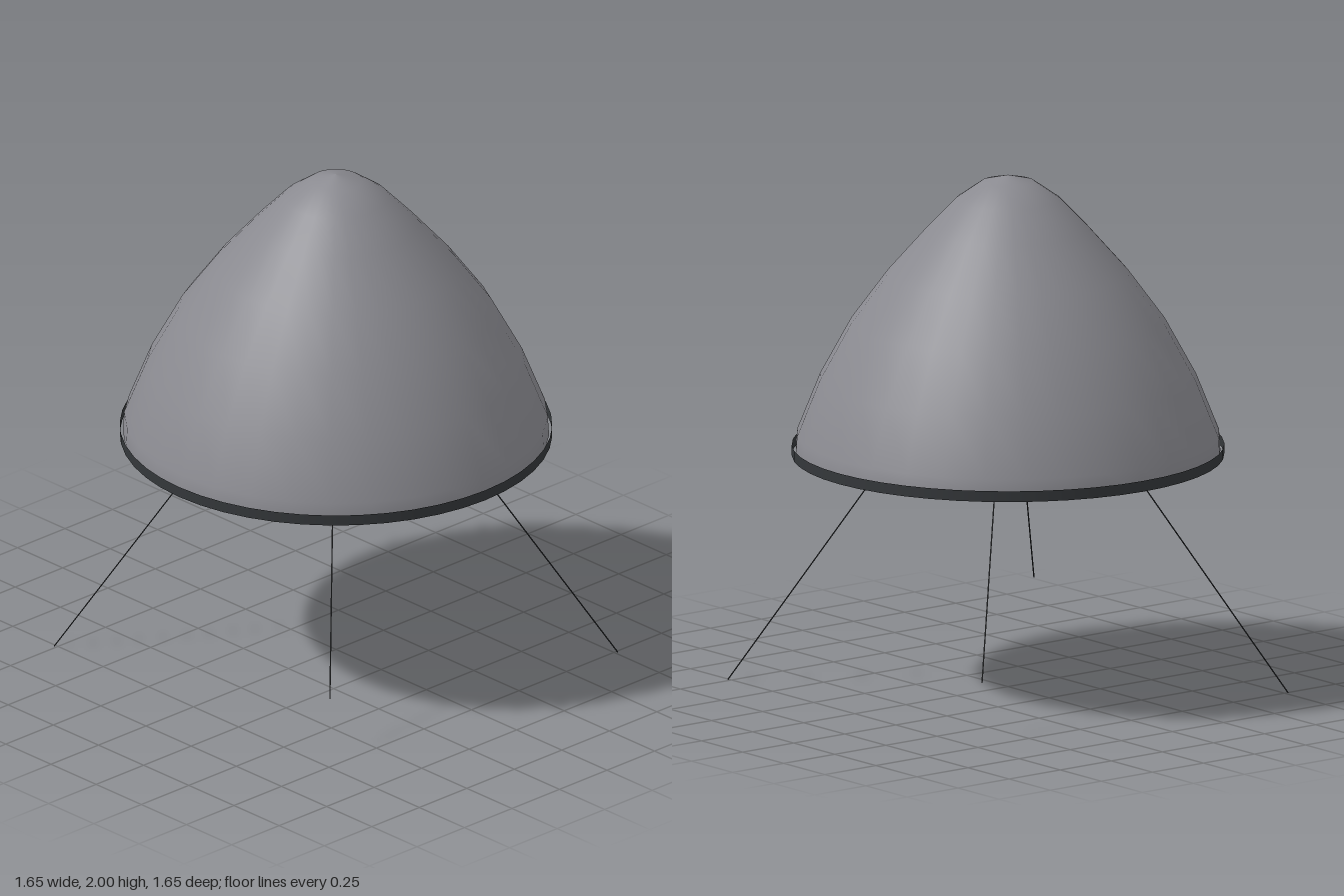
import * as THREE from 'three';

export function createModel() {
  const model = new THREE.Group();
  const mat = (name, color, side = THREE.FrontSide) => {
    const m = new THREE.MeshStandardMaterial({ color, side });
    m.name = name;
    return m;
  };
  const shadeGrey = mat('shade grey', 0x8a8a90, THREE.DoubleSide);
  const trimDark = mat('trim dark grey', 0x34373a, THREE.DoubleSide);
  const bulbGrey = mat('bulb light grey', 0xb8b8b8);

  const add = (name, geometry, material, y = 0) => {
    const mesh = new THREE.Mesh(geometry, material);
    mesh.name = name;
    mesh.position.y = y;
    model.add(mesh);
    return mesh;
  };

  // Open domed shade, listed from the lower edge up to the tip
  const profile = [
    [0.813, 0.91], [0.808, 0.99], [0.72, 1.21], [0.6, 1.43], [0.46, 1.62],
    [0.31, 1.79], [0.2, 1.905], [0.1, 1.975], [0, 2],
  ].map(([r, y]) => new THREE.Vector2(r, y));
  add('shade', new THREE.LatheGeometry(profile, 32), shadeGrey);

  // Thin band standing just clear of the lower edge
  add('rim', new THREE.CylinderGeometry(0.825, 0.825, 0.042, 48, 1, true), trimDark, 0.927);

  // Support hoops inside the shade
  for (const [r, y] of [[0.61, 1.23], [0.41, 1.53]]) {
    const hoop = add('innerHoop', new THREE.TorusGeometry(r, 0.008, 6, 48), trimDark, y);
    hoop.rotation.x = Math.PI / 2;
  }

  // Bulb and its socket
  add('bulb', new THREE.SphereGeometry(0.16, 32, 20), bulbGrey, 1.27);
  add('socket', new THREE.CylinderGeometry(0.1, 0.1, 0.1, 24), trimDark, 1.43);

  // Four wire legs on the diagonals; one opposite pair is shorter
  const up = new THREE.Vector3(0, 1, 0);
  for (const sx of [-1, 1]) {
    for (const sz of [-1, 1]) {
      const [reach, footY] = sx === sz ? [0.76, 0] : [0.65, 0.22];
      const top = new THREE.Vector3(sx * 0.09, 1.36, sz * 0.09);
      const foot = new THREE.Vector3(sx * reach, footY, sz * reach);
      const span = top.clone().sub(foot);
      const leg = add('leg', new THREE.CylinderGeometry(0.0025, 0.0025, span.length(), 6), trimDark);
      leg.position.copy(top).add(foot).multiplyScalar(0.5);
      leg.quaternion.setFromUnitVectors(up, span.normalize());
    }
  }

  return model;
}
